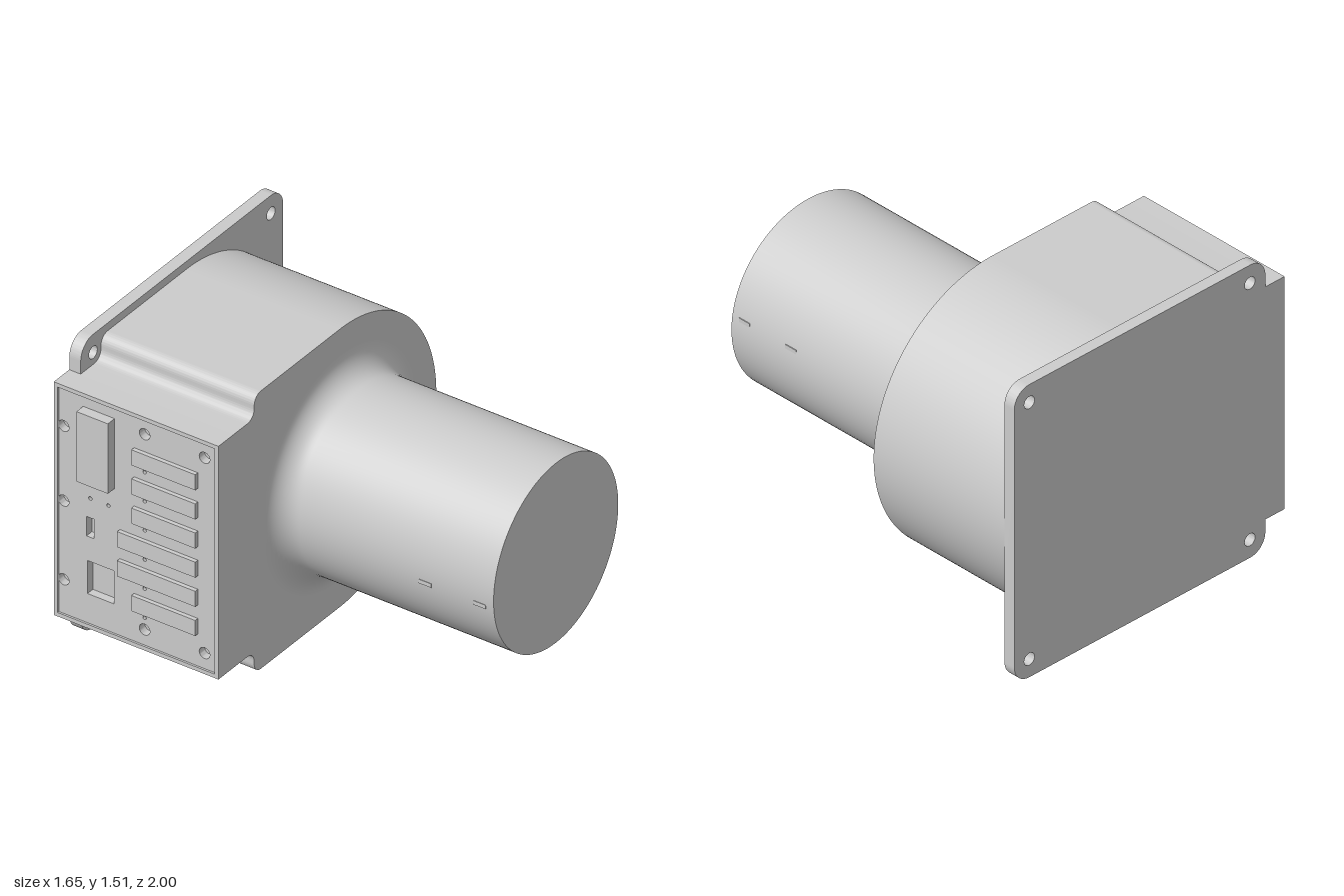
import * as THREE from 'three';
import { toCreasedNormals } from 'three/addons/utils/BufferGeometryUtils.js';

const CX = 0.11, CY = 0.755; // axis of the barrel
const material = new THREE.MeshStandardMaterial({ color: 0xcccccc });

function add(parent, name, geometry, x = 0, y = 0, z = 0) {
  const mesh = new THREE.Mesh(geometry, material);
  mesh.name = name;
  mesh.position.set(x, y, z);
  parent.add(mesh);
  return mesh;
}

function extrude(shape, depth, curveSegments = 16) {
  const g = new THREE.ExtrudeGeometry(shape, { depth, bevelEnabled: false, curveSegments });
  return toCreasedNormals(g, 0.5);
}

function circle(x, y, r) {
  const p = new THREE.Path();
  p.absarc(x, y, r, 0, Math.PI * 2, true);
  return p;
}

// Rectangle centred on (x, y)
function rect(x, y, w, h, Kind = THREE.Path) {
  const p = new Kind();
  p.moveTo(x - w / 2, y - h / 2);
  p.lineTo(x + w / 2, y - h / 2);
  p.lineTo(x + w / 2, y + h / 2);
  p.lineTo(x - w / 2, y + h / 2);
  p.closePath();
  return p;
}

// Flange with rounded corners, four bolt holes and a tab behind the side box
function plateShape() {
  const l = -0.675, r = 0.825, t = 1.51, c = 0.09, H = Math.PI / 2;
  const s = new THREE.Shape();
  s.moveTo(-0.74, 0.155);
  s.lineTo(l, 0.155);
  s.absarc(l + c, c, c, 2 * H, 3 * H, false);
  s.absarc(r - c, c, c, 3 * H, 4 * H, false);
  s.absarc(r - c, t - c, c, 0, H, false);
  s.absarc(l + c, t - c, c, H, 2 * H, false);
  s.lineTo(l, 1.355);
  s.lineTo(-0.74, 1.355);
  s.closePath();
  for (const x of [-0.583, 0.735])
    for (const y of [0.093, 1.417]) s.holes.push(circle(x, y, 0.031));
  return s;
}

// Housing: round on one side, stepped with small fillets on the other
function bodyShape() {
  const H = Math.PI / 2, f = 0.05;
  const s = new THREE.Shape();
  s.moveTo(-0.74, 0.155);
  s.lineTo(-0.575, 0.155);
  s.absarc(-0.575, 0.105, f, H, 0, true);
  s.absarc(-0.475, 0.09, f, 2 * H, 3 * H, false);
  s.absarc(CX, CY, 0.715, -H, H, false);
  s.absarc(-0.475, 1.42, f, H, 2 * H, false);
  s.absarc(-0.575, 1.405, f, 0, -H, true);
  s.lineTo(-0.74, 1.355);
  s.closePath();
  return s;
}

// Barrel with a flared root and closed end
function barrelGeometry() {
  const r = 0.462, f = 0.115, pts = [new THREE.Vector2(r + f, -0.15)];
  for (let i = 0; i <= 12; i++) {
    const a = (i / 12) * Math.PI / 2;
    pts.push(new THREE.Vector2(r + f - f * Math.sin(a), -0.02 - f * Math.cos(a)));
  }
  pts.push(new THREE.Vector2(r, 1), new THREE.Vector2(0, 1));
  const g = new THREE.LatheGeometry(pts, 96);
  g.rotateX(Math.PI / 2);
  return toCreasedNormals(g, 0.6);
}

function buildSidePanel() {
  const panel = new THREE.Group();
  panel.name = 'sidePanel';
  const zMid = -0.5675, w = 0.865, h = 1.2;
  const stripYs = [0.38, 0.53, 0.68, 0.83, 0.98, 1.13];

  // Panel face: local x runs along z, depth runs towards -x
  const face = rect(zMid, CY, w, h, THREE.Shape);
  const screws = [[-0.215, 1.26], [-0.53, 1.26], [-0.955, 1.14], [-0.955, CY],
    [-0.955, 0.35], [-0.53, 0.255], [-0.215, 0.255]];
  for (const [z, y] of screws) face.holes.push(circle(z, y, 0.028));
  for (const z of [-0.815, -0.72]) face.holes.push(circle(z, 0.82, 0.009));
  for (const y of stripYs) face.holes.push(circle(-0.53, y - 0.065, 0.009));
  face.holes.push(rect(-0.815, 0.67, 0.04, 0.1), rect(-0.76, 0.41, 0.14, 0.17));
  add(panel, 'panelFace', extrude(face, 0.04), -0.74).rotation.y = -Math.PI / 2;

  // Raised rim around the face
  const rim = rect(zMid, CY, w, h, THREE.Shape);
  rim.holes.push(rect(zMid, CY, w - 0.04, h - 0.04));
  add(panel, 'panelRim', extrude(rim, 0.01), -0.78).rotation.y = -Math.PI / 2;

  // Connector strips; two of them are longer
  for (const y of stripYs) {
    const back = y === 0.53 || y === 0.68 ? -0.66 : -0.585;
    add(panel, 'connectorStrip', new THREE.BoxGeometry(0.03, 0.08, -0.25 - back),
      -0.785, y, (back - 0.25) / 2);
  }
  add(panel, 'powerSocket', new THREE.BoxGeometry(0.07, 0.36, 0.165), -0.795, 1.1, -0.77);
  return panel;
}

export function createModel() {
  const model = new THREE.Group();
  model.name = 'flangedHousing';

  add(model, 'mountingPlate', extrude(plateShape(), 0.06), 0, 0, -1);
  add(model, 'housing', extrude(bodyShape(), 0.805, 64), 0, 0, -0.94);
  add(model, 'barrel', barrelGeometry(), CX, CY, 0);
  model.add(buildSidePanel());

  // Small marker slots on both sides of the barrel
  for (const z of [0.64, 0.925]) {
    add(model, 'barrelSlot', new THREE.BoxGeometry(0.02, 0.02, 0.065), CX + 0.449, 0.825, z);
    add(model, 'barrelSlot', new THREE.BoxGeometry(0.02, 0.02, 0.065), CX - 0.453, 0.71, z);
  }
  return model;
}
